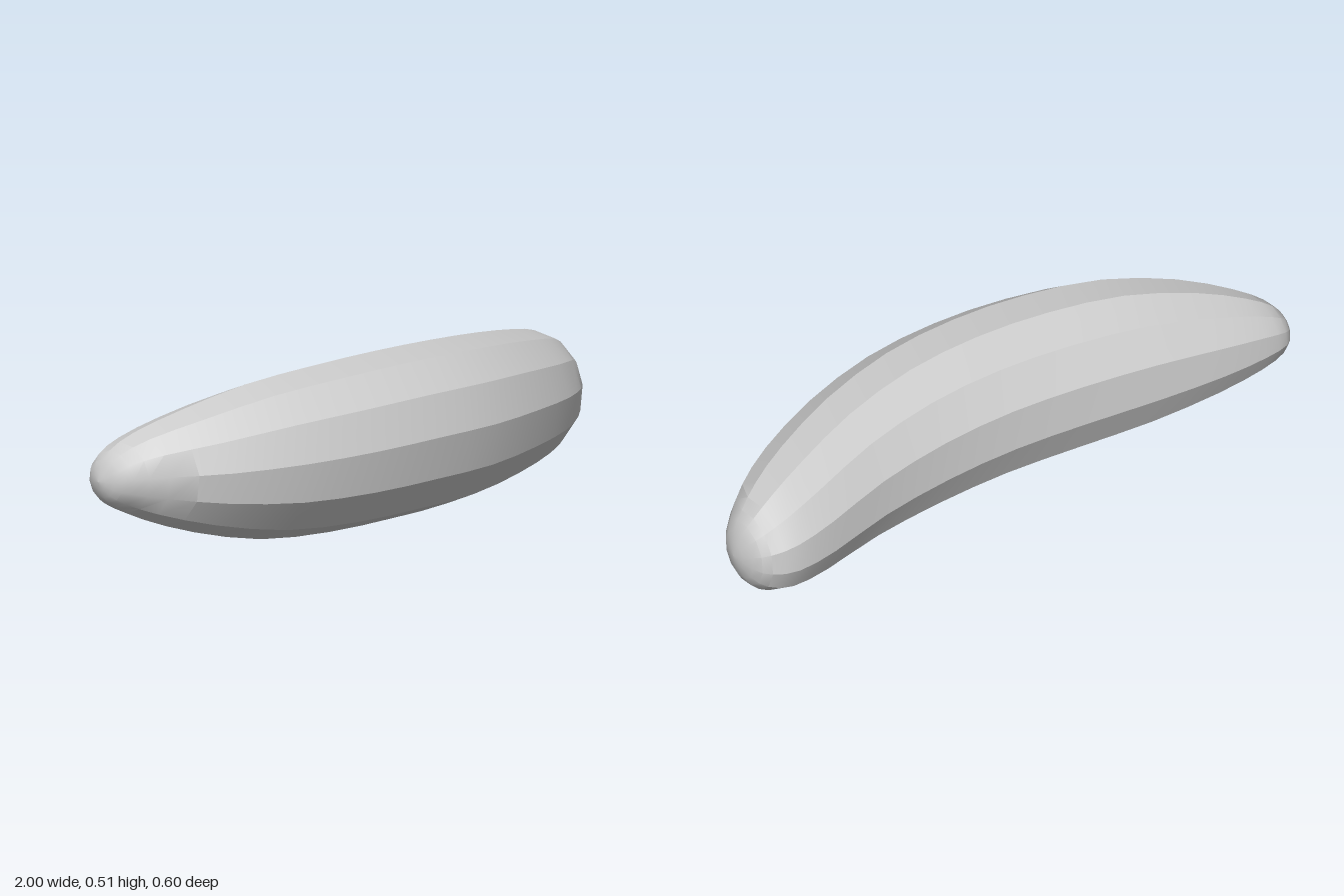
import * as THREE from 'three';
import { toCreasedNormals } from 'three/addons/utils/BufferGeometryUtils.js';

// Cross-sections along the body: x, bottom, top, back, front
const SECTIONS = [
  [-1, 0.25, 0.25, -0.17, -0.17],
  [-0.985, 0.2, 0.295, -0.215, -0.115],
  [-0.95, 0.165, 0.34, -0.25, -0.065],
  [-0.87, 0.12, 0.387, -0.262, 0.01],
  [-0.72, 0.065, 0.44, -0.26, 0.13],
  [-0.5, 0.015, 0.49, -0.24, 0.23],
  [-0.25, 0, 0.51, -0.215, 0.285],
  [0, 0, 0.514, -0.2, 0.302],
  [0.25, 0, 0.502, -0.206, 0.287],
  [0.5, 0.015, 0.472, -0.24, 0.225],
  [0.72, 0.03, 0.43, -0.292, 0.135],
  [0.86, 0.05, 0.393, -0.307, 0.045],
  [0.94, 0.085, 0.345, -0.277, -0.03],
  [0.98, 0.135, 0.295, -0.23, -0.08],
  [1, 0.215, 0.215, -0.15, -0.15],
];
const SIDES = 12;
const RINGS = (SECTIONS.length - 1) * 2;
const PHASE = THREE.MathUtils.degToRad(8);

const smoothCurve = (points) => new THREE.CatmullRomCurve3(points, false, 'catmullrom', 0.5);

// Bent, tapering body: twelve-sided rings skinned from tip to tip
function bodyGeometry() {
  const spine = smoothCurve(SECTIONS.map(([x, y0, y1, z0, z1]) =>
    new THREE.Vector3(x, (y0 + y1) / 2, (z0 + z1) / 2)));
  const radii = smoothCurve(SECTIONS.map(([, y0, y1, z0, z1]) =>
    new THREE.Vector3(0, (y1 - y0) / 2, (z1 - z0) / 2)));
  const positions = [];
  const index = [];
  for (let i = 0; i <= RINGS; i++) {
    const c = spine.getPoint(i / RINGS);
    const r = radii.getPoint(i / RINGS);
    for (let j = 0; j < SIDES; j++) {
      const a = PHASE + (j / SIDES) * Math.PI * 2;
      positions.push(c.x, c.y + r.y * Math.sin(a), c.z + r.z * Math.cos(a));
    }
  }
  for (let i = 0; i < RINGS; i++) {
    for (let j = 0; j < SIDES; j++) {
      const k = (j + 1) % SIDES;
      const a = i * SIDES + j, b = a + SIDES;
      const d = i * SIDES + k, e = d + SIDES;
      // the end rings are single points, so each needs one triangle only
      if (i < RINGS - 1) index.push(a, b, e);
      else index.push(a, b, d);
      if (i > 0 && i < RINGS - 1) index.push(a, e, d);
    }
  }
  const geometry = new THREE.BufferGeometry();
  geometry.setAttribute('position', new THREE.Float32BufferAttribute(positions, 3));
  geometry.setIndex(index);
  // lengthwise ridges stay sharp, the rounded ends stay smooth
  return toCreasedNormals(geometry, THREE.MathUtils.degToRad(24));
}

export function createModel() {
  const group = new THREE.Group();
  group.name = 'curvedFruit';
  const body = new THREE.Mesh(bodyGeometry(), new THREE.MeshStandardMaterial({ color: 0xcccccc }));
  body.name = 'body';
  group.add(body);
  return group;
}
